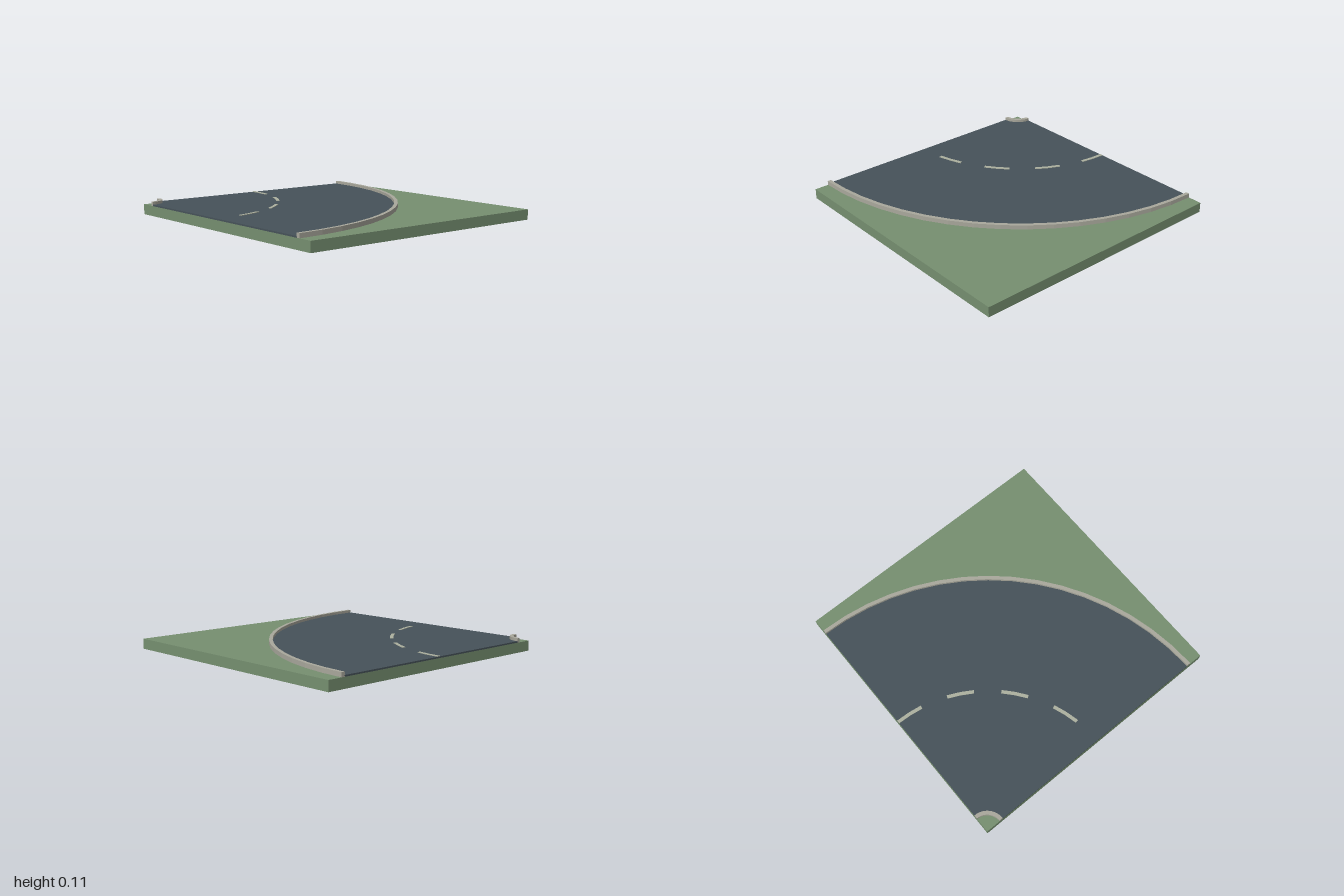
import * as THREE from 'three';

const STEP = Math.PI / 32; // one facet of the curve

// Flat ring sector around the tile corner (-1, -1), from y = bottom to y = top
function ringSector(inner, outer, start, end, bottom, top) {
  const n = Math.max(1, Math.round((end - start) / STEP));
  const arc = (r) => Array.from({ length: n + 1 }, (_, i) => {
    const a = start + ((end - start) * i) / n;
    return new THREE.Vector2(r * Math.cos(a), r * Math.sin(a));
  });
  const shape = new THREE.Shape([...arc(outer), ...arc(inner).reverse()]);
  const geometry = new THREE.ExtrudeGeometry(shape, { depth: top - bottom, bevelEnabled: false });
  geometry.rotateX(Math.PI / 2);
  geometry.translate(-1, top, -1);
  return geometry;
}

export function createModel() {
  const model = new THREE.Group();
  model.name = 'roadCornerTile';

  const material = (name, color) => {
    const m = new THREE.MeshStandardMaterial({ color });
    m.name = name;
    return m;
  };
  const grass = material('grassGreen', 0x768f70);
  const asphalt = material('asphaltGrey', 0x465259);
  const concrete = material('curbConcrete', 0xa9a89c);
  const paint = material('lanePaint', 0xacb09f);

  const add = (name, geometry, mat) => {
    const mesh = new THREE.Mesh(geometry, mat);
    mesh.name = name;
    model.add(mesh);
  };

  // Square ground slab
  const ground = new THREE.BoxGeometry(2, 0.075, 2);
  ground.translate(0, 0.0375, 0);
  add('ground', ground, grass);

  // Quarter-turn road between two raised curbs
  const quarter = Math.PI / 2;
  add('road', ringSector(0.135, 1.867, 0, quarter, 0.075, 0.086), asphalt);
  add('innerCurb', ringSector(0.11, 0.137, 0, quarter, 0.075, 0.107), concrete);
  add('outerCurb', ringSector(1.865, 1.892, 0, quarter, 0.075, 0.107), concrete);

  // Dashed centre line
  for (let i = 0; i < 4; i++) {
    const start = i * 4 * STEP;
    add(`laneDash${i + 1}`, ringSector(0.987, 1.012, start, start + 2 * STEP, 0.086, 0.09), paint);
  }
  return model;
}
